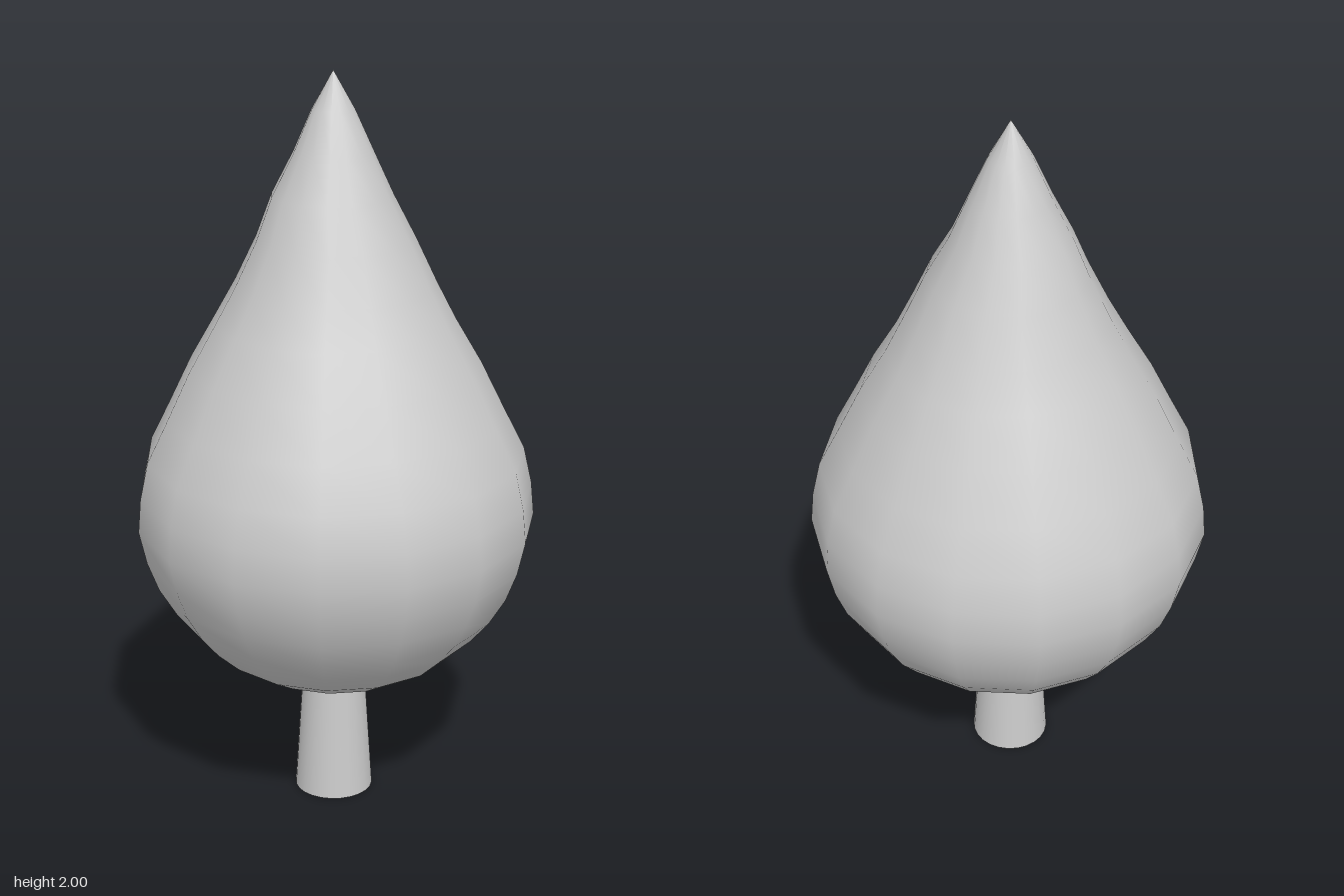
import * as THREE from 'three';

export function createModel() {
  const group = new THREE.Group();
  group.name = 'tree';
  const material = new THREE.MeshStandardMaterial({ color: 0xcccccc });

  // Foliage: 15-sided teardrop; each ring is [radius, height, sideways drift in z]
  const rings = [
    [0, 0.33, 0], [0.1, 0.34, 0], [0.24, 0.385, 0], [0.325, 0.435, 0],
    [0.39, 0.495, 0], [0.44, 0.555, 0], [0.485, 0.63, 0], [0.515, 0.71, 0],
    [0.535, 0.8, 0], [0.527, 0.89, 0], [0.505, 0.99, 0], [0.45, 1.1, 0],
    [0.387, 1.23, 0], [0.318, 1.35, 0], [0.265, 1.45, 0.007],
    [0.208, 1.57, 0.01], [0.158, 1.68, -0.007], [0.105, 1.79, 0.002],
    [0.056, 1.9, 0.002], [0, 2, 0.004],
  ];
  const sides = 15;
  const crownGeometry = new THREE.LatheGeometry(
    rings.map(([r, y]) => new THREE.Vector2(r, y)), sides, Math.PI / 2);

  // Lean the tip slightly and let the upper rings wander
  const pos = crownGeometry.attributes.position;
  for (let i = 0; i < pos.count; i++) {
    const drift = rings[i % rings.length][2];
    const lean = -0.008 * Math.max(0, (pos.getY(i) - 0.8) / 1.2);
    pos.setX(i, pos.getX(i) + lean);
    pos.setZ(i, pos.getZ(i) + drift);
  }
  const crown = new THREE.Mesh(crownGeometry, material);
  crown.name = 'foliage';
  group.add(crown);

  // Trunk: tapered cylinder running up into the foliage
  const trunk = new THREE.Mesh(new THREE.CylinderGeometry(0.083, 0.107, 0.38, 24), material);
  trunk.name = 'trunk';
  trunk.position.set(-0.008, 0.19, 0.004);
  group.add(trunk);

  return group;
}
